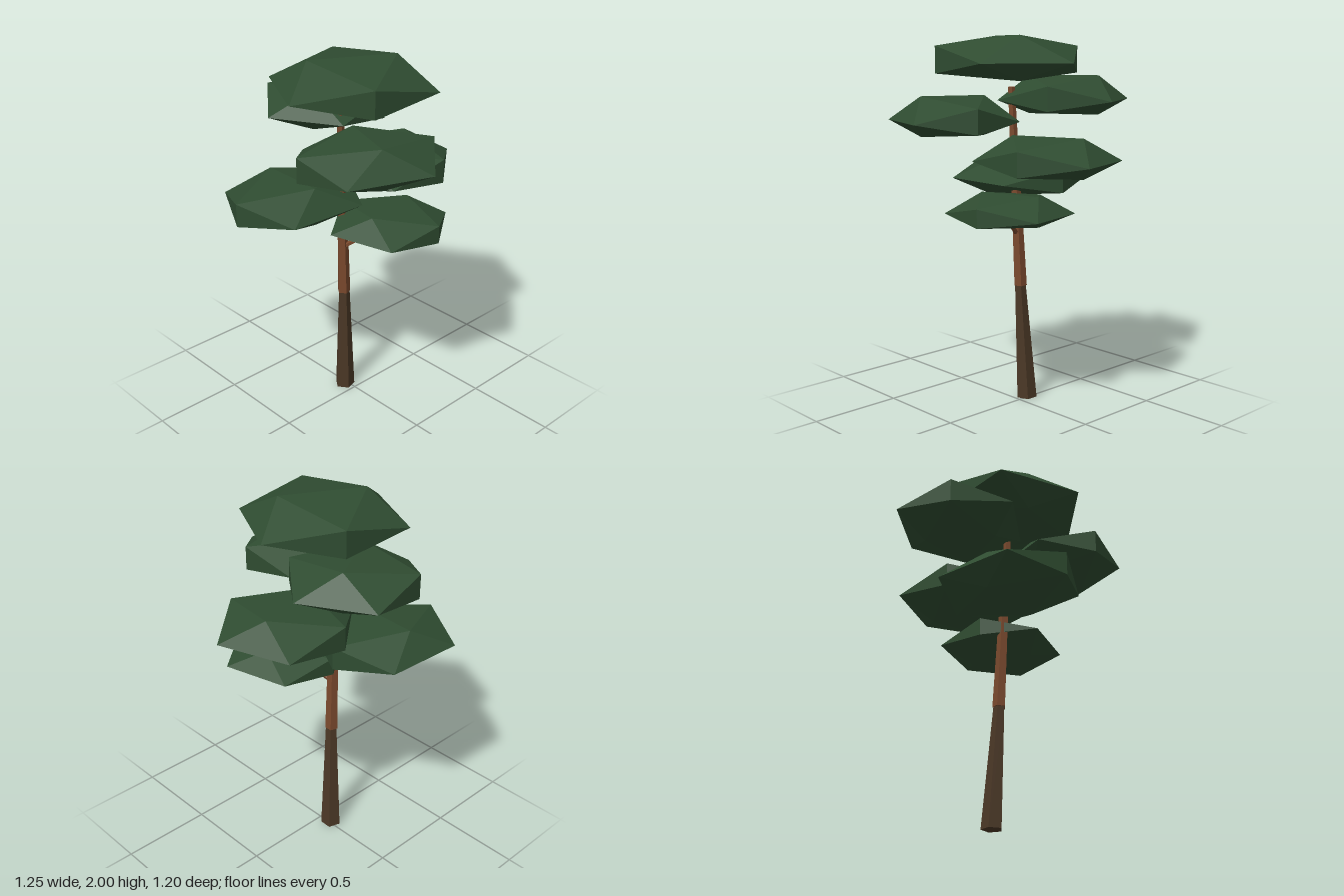
import * as THREE from 'three';

export function createModel() {
  const tree = new THREE.Group();
  tree.name = 'tree';

  const paint = (name, color) => {
    const m = new THREE.MeshStandardMaterial({ color });
    m.name = name;
    return m;
  };
  const foliage = paint('foliageGreen', 0x2f4c31);
  const bark = paint('upperBark', 0x7a492d);
  const darkBark = paint('lowerBark', 0x4b3826);

  const add = (name, geometry, material) => {
    const g = geometry.index ? geometry.toNonIndexed() : geometry;
    g.computeVertexNormals(); // faceted normals
    const mesh = new THREE.Mesh(g, material);
    mesh.name = name;
    tree.add(mesh);
  };

  // Leaning tapered log with level ends, from point a to point b
  const log = (name, a, b, ra, rb, material) => {
    const h = b[1] - a[1];
    const g = new THREE.CylinderGeometry(rb, ra, h, 5);
    const p = g.attributes.position;
    for (let i = 0; i < p.count; i++) {
      const t = p.getY(i) / h + 0.5;
      p.setXYZ(i,
        p.getX(i) + a[0] + (b[0] - a[0]) * t,
        p.getY(i) + a[1] + h / 2,
        p.getZ(i) + a[2] + (b[2] - a[2]) * t);
    }
    add(name, g, material);
  };

  log('lowerTrunk', [-0.07, 0, 0.015], [-0.043, 0.655, 0.04], 0.057, 0.031, darkBark);
  log('upperTrunk', [-0.045, 0.645, 0.04], [-0.018, 1.73, 0.083], 0.036, 0.019, bark);

  // Side branch reaching into the lowest pad
  const from = new THREE.Vector3(-0.03, 0.935, 0.055);
  const to = new THREE.Vector3(0.16, 1.075, -0.06);
  const dir = to.clone().sub(from);
  const branch = new THREE.CylinderGeometry(0.009, 0.014, dir.length(), 5);
  branch.applyQuaternion(new THREE.Quaternion().setFromUnitVectors(
    new THREE.Vector3(0, 1, 0), dir.clone().normalize()));
  branch.translate(...from.add(to).multiplyScalar(0.5).toArray());
  add('branch', branch, bark);

  // Foliage pads: x, y, z, long radius, cross radius, height above, depth below, turn
  const pads = [
    [0.04, 1.86, 0.05, 0.44, 0.455, 0.14, 0.09, 1.09],
    [-0.28, 1.66, -0.053, 0.367, 0.385, 0.13, 0.08, 2.08],
    [0.295, 1.56, 0.195, 0.335, 0.425, 0.13, 0.08, 2.79],
    [0.015, 1.36, -0.225, 0.39, 0.39, 0.125, 0.085, 1.886],
    [-0.225, 1.21, 0.238, 0.36, 0.423, 0.12, 0.085, 3.1],
    [0.165, 1.088, -0.1, 0.335, 0.35, 0.1, 0.058, 1.81],
  ];
  pads.forEach(([x, y, z, rx, rz, up, down, turn], n) => {
    const g = new THREE.IcosahedronGeometry(1, 0);
    const p = g.attributes.position;
    // Squash the underside more than the top
    for (let i = 0; i < p.count; i++) {
      const v = p.getY(i) / 0.851;
      p.setXYZ(i, p.getX(i) * rx, v * (v > 0 ? up : down), p.getZ(i) * rz);
    }
    g.rotateY(turn).translate(x, y, z);
    add('foliagePad' + (n + 1), g, foliage);
  });

  return tree;
}
